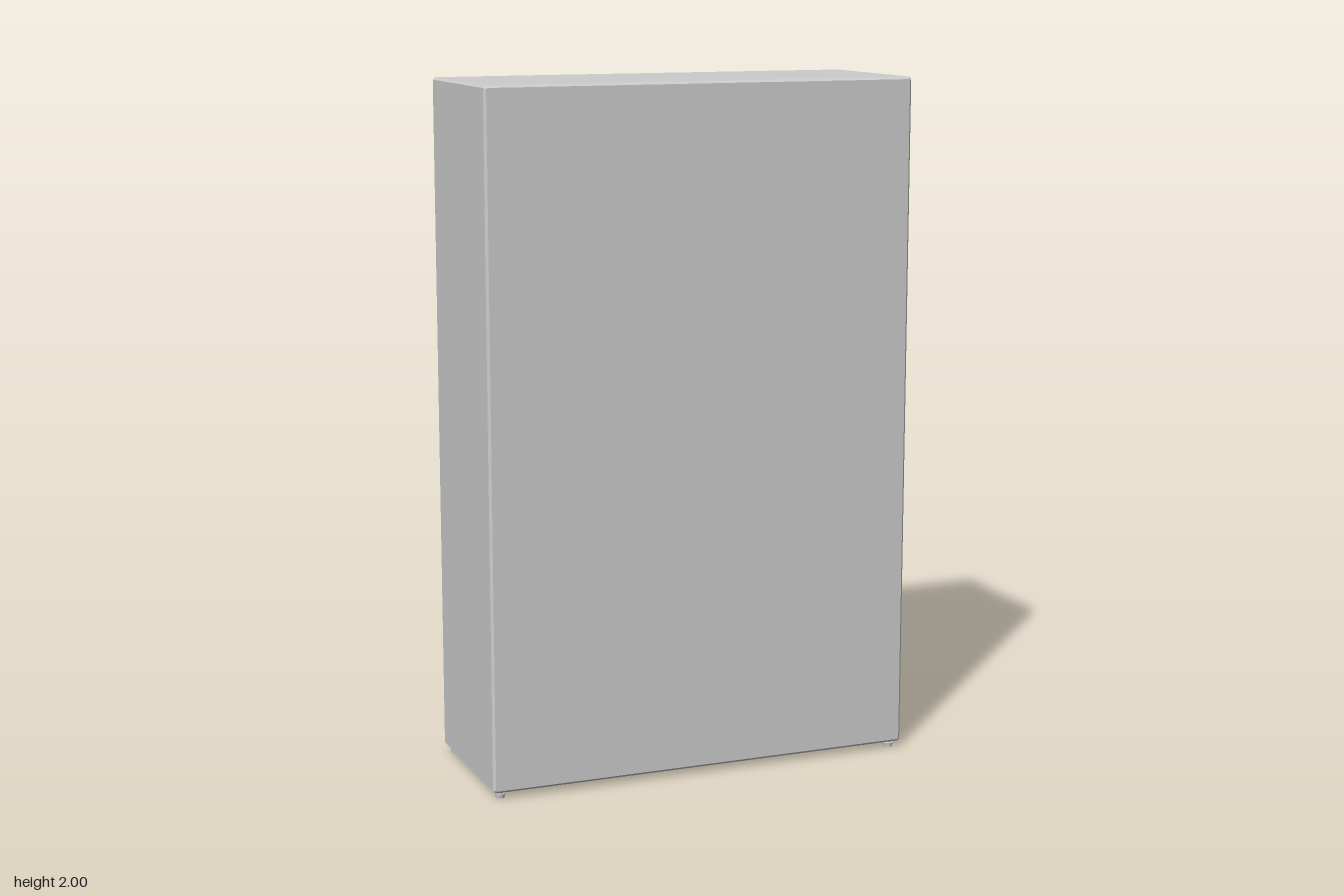
import * as THREE from 'three';
import { toCreasedNormals } from 'three/addons/utils/BufferGeometryUtils.js';

const W = 0.64, D = 0.242, Y0 = 0.02, Y1 = 2, T = 0.018, BEVEL = 0.007;

// Rectangular loop with cut corners, inset from the cabinet outline, at depth z
function loop(inset, cut, z) {
  const x = W - inset, b = Y0 + inset, t = Y1 - inset;
  return [
    [x - cut, b], [x, b + cut], [x, t - cut], [x - cut, t],
    [-x + cut, t], [-x, t - cut], [-x, b + cut], [-x + cut, b],
  ].map(([px, py]) => [px, py, z]);
}

// Skin joining the loops one after another, closed at both ends
function loft(loops) {
  const n = loops[0].length, pos = loops.flat(2), index = [];
  for (let r = 0; r < loops.length - 1; r++) {
    for (let i = 0; i < n; i++) {
      const j = (i + 1) % n, a = r * n, b = a + n;
      index.push(a + i, b + i, a + j, a + j, b + i, b + j);
    }
  }
  const last = (loops.length - 1) * n;
  for (let i = 1; i < n - 1; i++) {
    index.push(0, i, i + 1, last, last + i + 1, last + i);
  }
  const g = new THREE.BufferGeometry();
  g.setAttribute('position', new THREE.Float32BufferAttribute(pos, 3));
  g.setIndex(index);
  return toCreasedNormals(g, 0.3);
}

export function createModel() {
  const group = new THREE.Group();
  const material = new THREE.MeshStandardMaterial({ color: 0xcccccc });
  const add = (name, geometry, x, y, z) => {
    const mesh = new THREE.Mesh(geometry, material);
    mesh.name = name;
    mesh.position.set(x, y, z);
    group.add(mesh);
  };

  // Carcass: closed front, bevelled outer edges, open back
  add('carcass', loft([
    loop(BEVEL, BEVEL / 2, D),
    loop(0, BEVEL, D - BEVEL),
    loop(0, BEVEL, -D + BEVEL),
    loop(BEVEL, BEVEL / 2, -D),
    loop(T, 0.001, -D),
    loop(T, 0.001, D - T),
  ]), 0, 0, 0);

  // Two shelves dividing the inside into three equal bays
  const bay = (Y1 - Y0 - 4 * T) / 3;
  const shelf = new THREE.BoxGeometry(2 * (W - T), T, 2 * D - T - 0.003);
  for (let i = 1; i <= 2; i++) {
    add('shelf', shelf, 0, Y0 + T / 2 + i * (bay + T), -T / 2 + 0.0015);
  }

  // Small round feet with a narrower stem
  const pad = new THREE.CylinderGeometry(0.015, 0.013, 0.012, 20);
  const stem = new THREE.CylinderGeometry(0.009, 0.009, 0.012, 16);
  for (const x of [-0.613, 0.613]) {
    for (const z of [-0.213, 0.213]) {
      add('footPad', pad, x, 0.006, z);
      add('footStem', stem, x, 0.016, z);
    }
  }
  return group;
}
